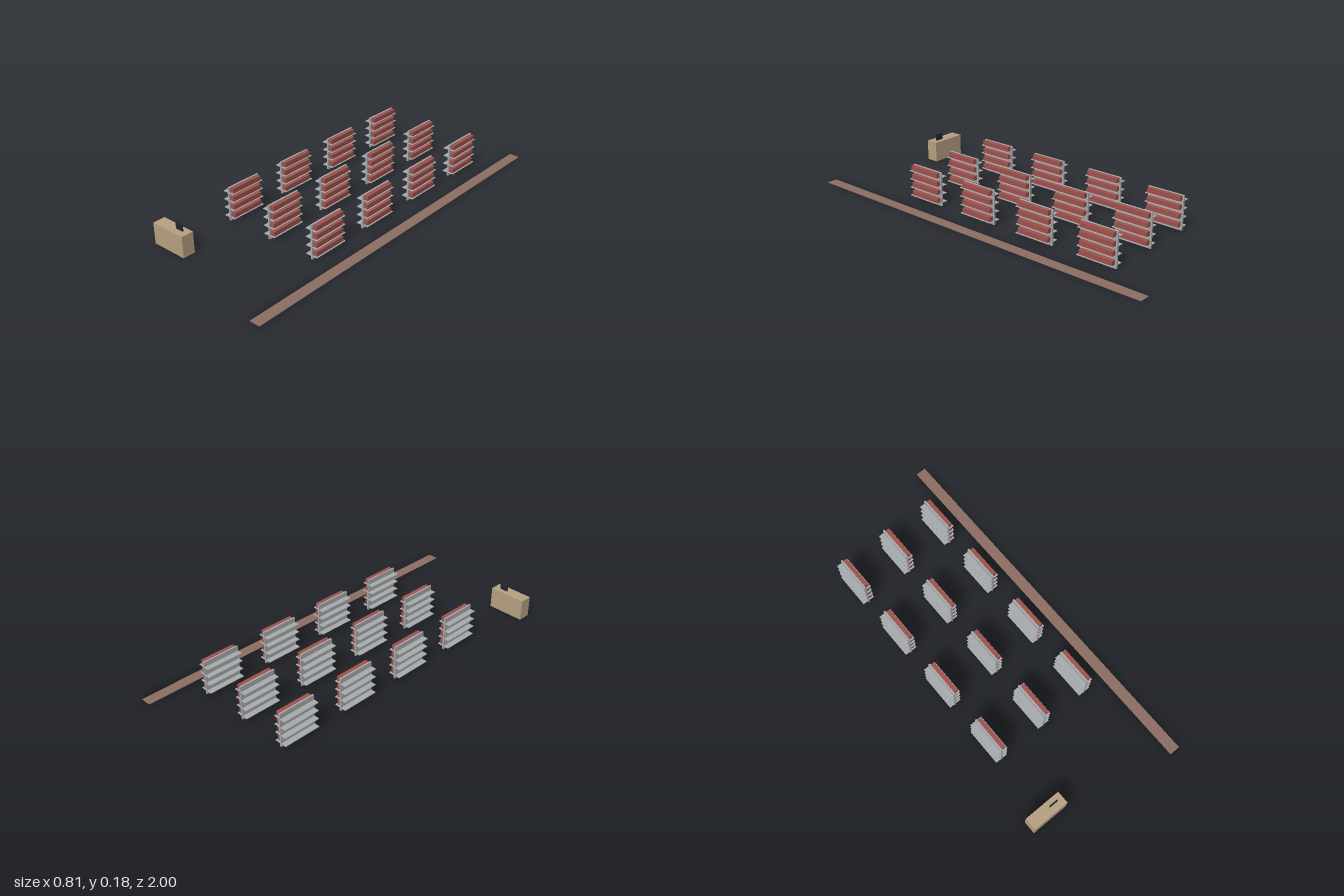
import * as THREE from 'three';

const material = (name, color) => {
  const m = new THREE.MeshStandardMaterial({ color });
  m.name = name;
  return m;
};

export function createModel() {
  const shelfGrey = material('shelf grey', 0xa9acae);
  const goodsRed = material('goods red', 0xa0524d);
  const counterTan = material('counter tan', 0xb8a282);
  const screenDark = material('screen dark', 0x22262f);
  const stripBrown = material('strip brown', 0x8d6e63);

  // Box given by its lower and upper limits on each axis
  const box = (parent, name, mat, [x0, x1], [y0, y1], [z0, z1]) => {
    const mesh = new THREE.Mesh(new THREE.BoxGeometry(x1 - x0, y1 - y0, z1 - z0), mat);
    mesh.position.set((x0 + x1) / 2, (y0 + y1) / 2, (z0 + z1) / 2);
    mesh.name = name;
    parent.add(mesh);
  };

  // Shelf unit: upright panel, four boards through it, goods on the +x side
  const shelfUnit = () => {
    const unit = new THREE.Group();
    box(unit, 'uprightPanel', shelfGrey, [-0.0045, 0.0045], [0, 0.178], [-0.098, 0.098]);
    for (let i = 0; i < 4; i++) {
      const y = 0.0165 + i * 0.0443;
      box(unit, 'shelfBoard', shelfGrey, [-0.033, 0.033], [y, y + 0.003], [-0.098, 0.098]);
      box(unit, 'goodsRow', goodsRed, [0.0045, 0.0265], [y + 0.003, y + 0.027], [-0.09, 0.09]);
    }
    return unit;
  };

  const model = new THREE.Group();
  model.name = 'shopInterior';

  // Three aisles of four shelf units
  for (let col = 0; col < 3; col++) {
    for (let row = 0; row < 4; row++) {
      const unit = shelfUnit();
      unit.name = `shelfUnit${col + 1}_${row + 1}`;
      unit.position.set(-0.298 + col * 0.265, 0, -0.663 + row * 0.355);
      model.add(unit);
    }
  }

  // Checkout counter with its screen
  box(model, 'counter', counterTan, [-0.406, -0.209], [0, 0.111], [0.801, 0.867]);
  box(model, 'screen', screenDark, [-0.287, -0.242], [0.111, 0.146], [0.828, 0.833]);

  // Long floor strip beside the aisles
  box(model, 'floorStrip', stripBrown, [0.35, 0.406], [0, 0.002], [-1, 1]);

  return model;
}
